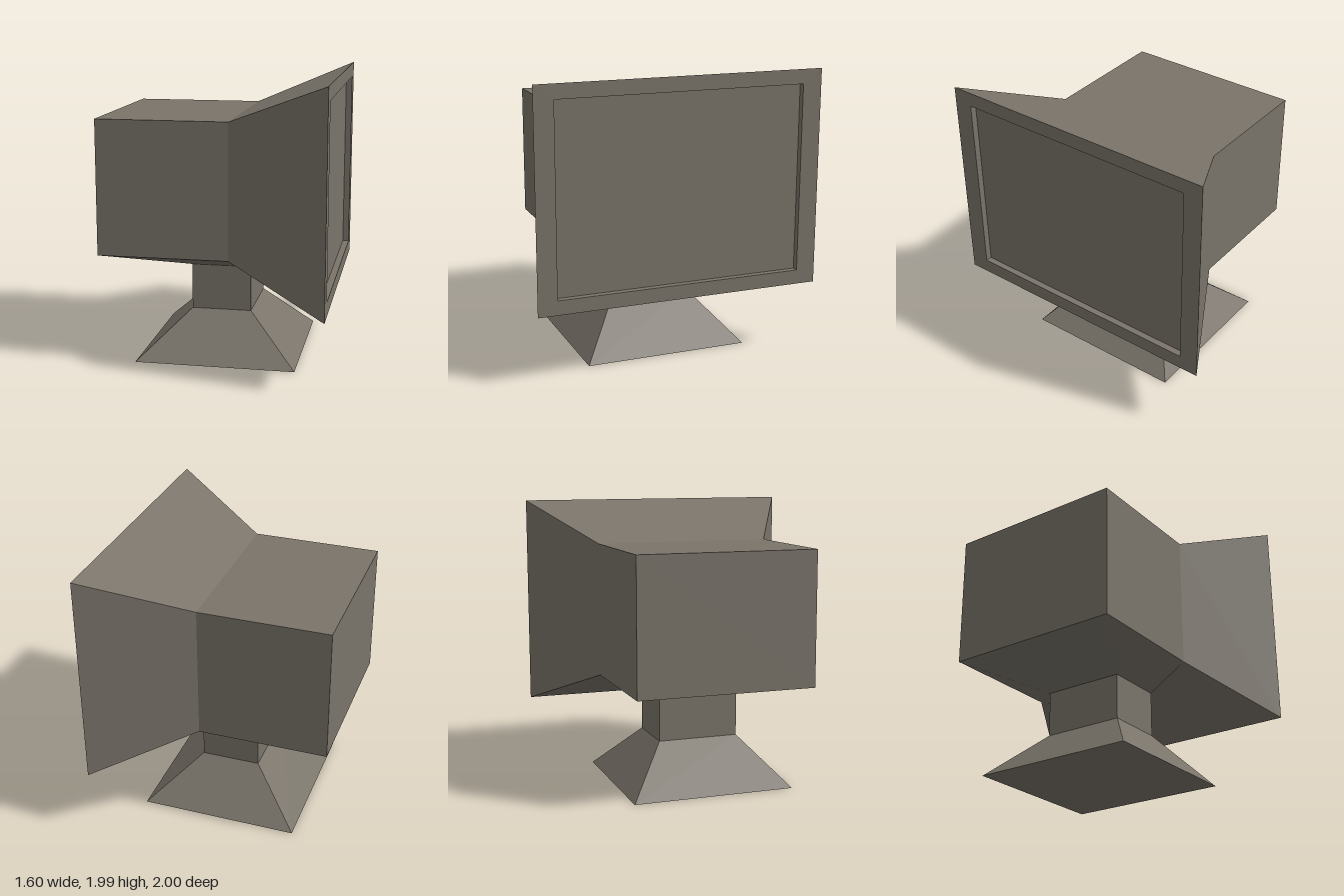
import * as THREE from 'three';

// Joins four-cornered loops into a flat-faced skin; loops run anticlockwise seen from the far end.
function loft(loops, capStart, capEnd) {
  const pos = [];
  const quad = (a, b, c, d) => [a, b, c, a, c, d].forEach((p) => pos.push(...p));
  for (let s = 0; s < loops.length - 1; s++) {
    const a = loops[s], b = loops[s + 1];
    for (let i = 0; i < 4; i++) {
      const j = (i + 1) % 4;
      quad(a[i], a[j], b[j], b[i]);
    }
  }
  if (capStart) quad(...[...loops[0]].reverse());
  if (capEnd) quad(...loops[loops.length - 1]);
  const geometry = new THREE.BufferGeometry();
  geometry.setAttribute('position', new THREE.Float32BufferAttribute(pos, 3));
  geometry.computeVertexNormals();
  return geometry;
}

// Upright rectangle across x
const acrossX = (x, y0, y1, z) => [[x, y0, -z], [x, y1, -z], [x, y1, z], [x, y0, z]];
// Level rectangle across y
const acrossY = (y, x0, x1, z) => [[x0, y, -z], [x0, y, z], [x1, y, z], [x1, y, -z]];

export function createModel() {
  const group = new THREE.Group();
  const casing = new THREE.MeshStandardMaterial({ color: 0x7a746a });
  casing.name = 'warm grey casing';

  const add = (name, geometry) => {
    const mesh = new THREE.Mesh(geometry, casing);
    mesh.name = name;
    group.add(mesh);
  };

  // Housing: boxy rear, flared front, bezel and the walls of the screen recess
  const recess = acrossX(0.755, 0.59, 1.89, 0.865);
  add('housing', loft([
    acrossX(-0.8, 0.77, 1.71, 0.63),
    acrossX(0.11, 0.77, 1.71, 0.63),
    acrossX(0.8, 0.49, 1.99, 1),
    acrossX(0.8, 0.59, 1.89, 0.865),
    recess,
  ], true, false));

  // Screen at the bottom of the recess
  add('screen', loft([recess], false, true));

  // Stand, from the floor up
  const neckBottom = acrossY(0.33, -0.21, 0.21, 0.29);
  const neckTop = acrossY(0.65, -0.21, 0.21, 0.29);
  add('base', loft([acrossY(0, -0.56, 0.56, 0.58), neckBottom], true, false));
  add('neck', loft([neckBottom, neckTop], false, false));
  add('underside', loft([neckTop, acrossY(0.77, -0.8, 0.11, 0.63)], false, false));

  return group;
}
